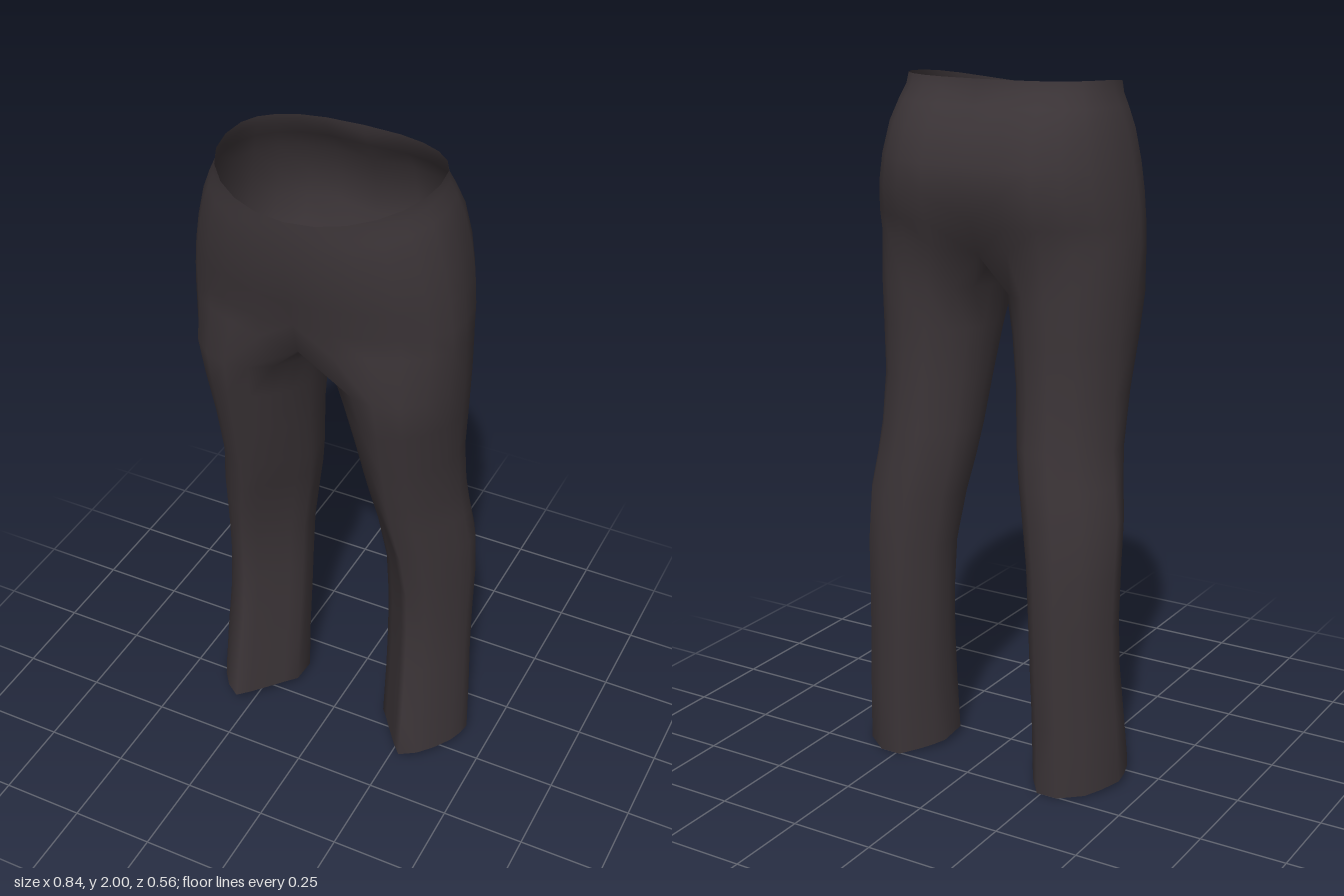
import * as THREE from 'three';
import { mergeVertices } from 'three/addons/utils/BufferGeometryUtils.js';

const OUTER = 12;              // segments round the outside of a leg, front centre to back centre
const INNER = 6;               // segments on the inside of a leg
const SPLIT = THREE.MathUtils.degToRad(128); // where the outside of a leg meets the inside

// Unit cross-section of the lower leg: front, outside, back, inside
const SHIN = [
  [-0.55, 0.52], [-0.25, 0.8], [0, 1], [0.35, 0.82], [0.62, 0.57], [0.87, 0.25],
  [0.97, 0], [1, -0.2], [0.82, -0.5], [0.6, -0.76], [0.1, -1], [-0.38, -1],
  [-0.72, -0.7], [-0.88, -0.52], [-1, -0.35], [-1, -0.1], [-1, 0.1], [-0.78, 0.3],
];

// Leg rows: y, inner x, outer x, front z, back z, share of the shin section (the rest is oval)
const LEG = [
  [0.00, 0.155, 0.422, 0.130, -0.255, 1],
  [0.20, 0.155, 0.415, 0.104, -0.257, 1],
  [0.35, 0.152, 0.407, 0.081, -0.259, 1],
  [0.50, 0.148, 0.405, 0.071, -0.260, 1],
  [0.65, 0.140, 0.408, 0.076, -0.260, 1],
  [0.80, 0.116, 0.407, 0.098, -0.250, 1],
  [0.90, 0.096, 0.392, 0.118, -0.238, 0.9],
  [1.00, 0.081, 0.381, 0.139, -0.226, 0.75],
  [1.15, 0.066, 0.379, 0.170, -0.208, 0.5],
  [1.30, 0.045, 0.389, 0.200, -0.205, 0.25],
  [1.42, 0.022, 0.395, 0.223, -0.208, 0.1],
];

// Hip rows: y, half width, front z, back z, front dip, back cleft, slope of the waist, sag at the centre
const HIPS = [
  [1.555, 0.397, 0.242, -0.245, 0.025, 0.070, 0, 0.03],
  [1.62, 0.394, 0.247, -0.272, 0.008, 0.058, 0, 0],
  [1.70, 0.385, 0.262, -0.293, 0, 0.040, 0, 0],
  [1.78, 0.371, 0.276, -0.290, 0, 0.032, 0.1, 0],
  [1.87, 0.350, 0.281, -0.257, 0, 0.020, 0.4, 0],
  [1.93, 0.328, 0.282, -0.212, 0, 0.012, 0.8, 0],
  [1.97, 0.310, 0.282, -0.184, 0, 0.005, 1, 0],
  [2.00, 0.305, 0.280, -0.175, 0, 0, 1, 0],
];

// Closed ring round one leg, starting at the front and going round the outside
function legRing([y, xIn, xOut, zFront, zBack, shin], row) {
  const cx = (xIn + xOut) / 2, a = (xOut - xIn) / 2;
  const cz = (zFront + zBack) / 2, b = (zFront - zBack) / 2;
  return SHIN.map(([u, v], k) => {
    const t = k <= OUTER
      ? SPLIT - (2 * SPLIT * k) / OUTER
      : -SPLIT - ((2 * Math.PI - 2 * SPLIT) * (k - OUTER)) / INNER;
    const x = cx + a * THREE.MathUtils.lerp(Math.cos(t), u, shin);
    const z = cz + b * THREE.MathUtils.lerp(Math.sin(t), v, shin);
    // the hem rises towards the front
    const rise = row === 0 ? (0.042 * (z - zBack)) / (zFront - zBack) : 0;
    return [x, y + rise, z];
  });
}

// Half ring round one hip, from front centre to back centre
function hipArc([y, w, zFront, zBack, dip, cleft, slope, sag]) {
  const cz = 0.02, arc = [];
  for (let k = 0; k <= OUTER; k++) {
    const t = Math.PI / 2 - (Math.PI * k) / OUTER;
    const front = k <= OUTER / 2;
    const e = front ? 2 / 2.05 : 2 / (2.3 + 0.3 * slope);
    const x = k % OUTER === 0 ? 0 : w * Math.cos(t) ** e;
    const fold = Math.exp(-((x / 0.085) ** 2));
    const bulge = Math.abs(Math.sin(t)) ** e;
    const z = front
      ? cz + (zFront - cz) * bulge - dip * fold
      : cz + (zBack - cz) * bulge + cleft * fold;
    const drop = 0.055 * slope * Math.max(0, (z + 0.175) / 0.455) ** 3;
    arc.push([x, y - drop - sag * fold, z]);
  }
  return arc;
}

// Crotch ring: the lowest hip arc closed by a saddle curve on the centre plane
function crotchRing() {
  const ring = hipArc(HIPS[0]);
  const front = ring[0], back = ring[OUTER];
  for (let k = 1; k < INNER; k++) {
    const s = k / INNER;
    ring.push([
      0,
      front[1] - 0.055 * Math.sin(Math.PI * s),
      THREE.MathUtils.lerp(back[2], front[2], s),
    ]);
  }
  return ring;
}

function trousersGeometry() {
  const positions = [], index = [];

  // Join successive rows, mirrored for the other side
  function loft(rows, closed, side) {
    const start = positions.length / 3, n = rows[0].length;
    for (const row of rows) for (const [x, y, z] of row) positions.push(x * side, y, z);
    for (let r = 0; r < rows.length - 1; r++) {
      for (let k = 0; k < (closed ? n : n - 1); k++) {
        const a = start + r * n + k, b = start + r * n + ((k + 1) % n);
        const c = a + n, d = b + n;
        if (side > 0) index.push(a, b, c, b, d, c);
        else index.push(a, c, b, b, c, d);
      }
    }
  }

  const legRows = [...LEG.map(legRing), crotchRing()];
  const hipRows = HIPS.map(hipArc);
  for (const side of [1, -1]) {
    loft(legRows, true, side);
    loft(hipRows, false, side);
  }

  let geometry = new THREE.BufferGeometry();
  geometry.setAttribute('position', new THREE.Float32BufferAttribute(positions, 3));
  geometry.setIndex(index);
  // weld the centre seam and the leg tops so the cloth shades smoothly
  geometry = mergeVertices(geometry, 1e-4);
  geometry.computeVertexNormals();
  return geometry;
}

export function createModel() {
  const group = new THREE.Group();
  group.name = 'trousers';
  const cloth = new THREE.MeshStandardMaterial({ color: 0x3b3437, side: THREE.DoubleSide });
  const mesh = new THREE.Mesh(trousersGeometry(), cloth);
  mesh.name = 'trouserCloth';
  group.add(mesh);
  return group;
}
